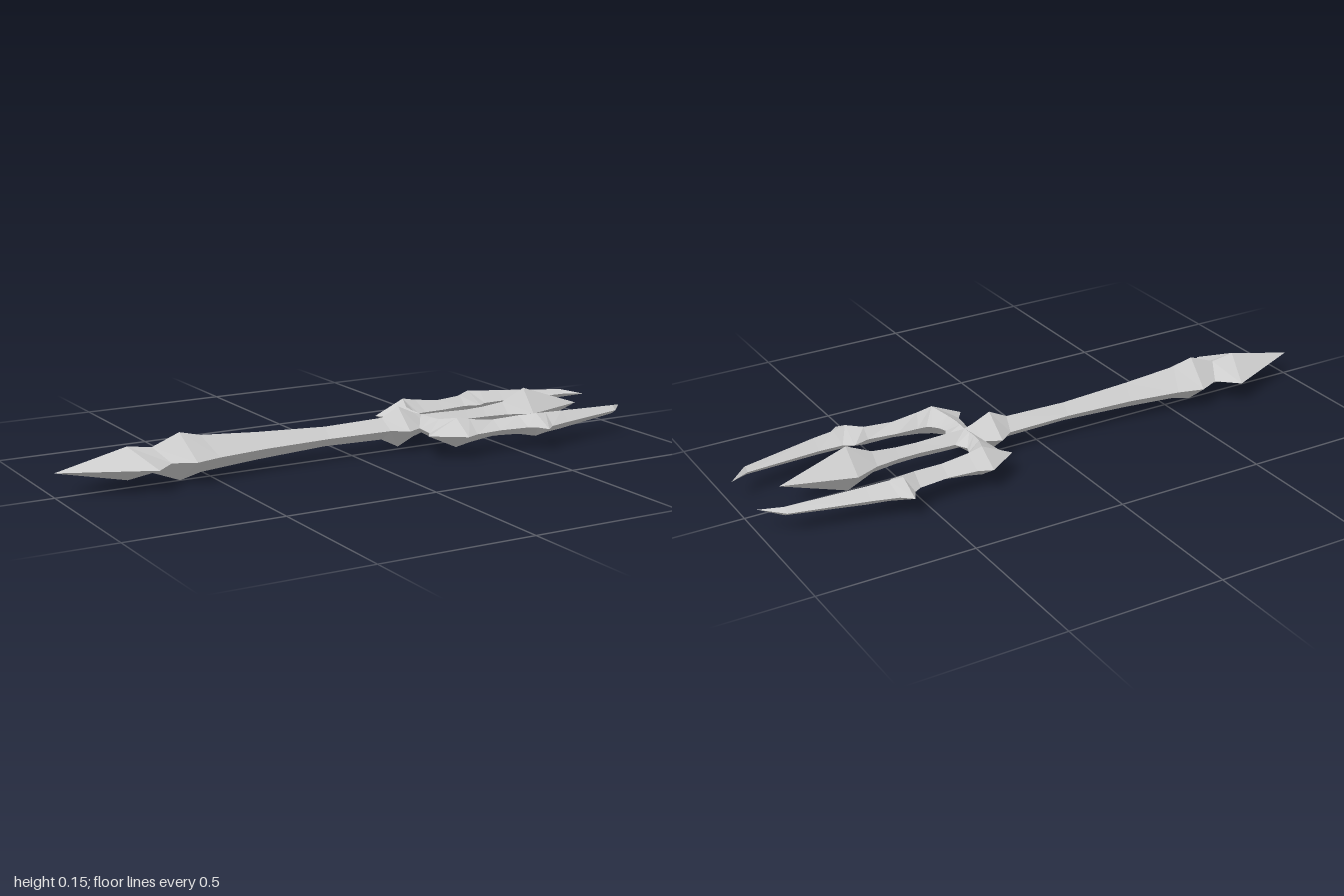
import * as THREE from 'three';

const MID = 0.075; // height of the weapon's centre line
const steel = new THREE.MeshStandardMaterial({ color: 0xcccccc, flatShading: true });
steel.name = 'steel';

// Skins a row of four-cornered rings (back, top, front, bottom) with flat faces
function loft(name, rings, flip = false) {
  const pos = [];
  const tri = (a, b, c) => {
    if (new THREE.Triangle(a, b, c).getArea() < 1e-8) return;
    for (const p of flip ? [a, c, b] : [a, b, c]) pos.push(p.x, p.y, p.z);
  };
  for (let s = 0; s < rings.length - 1; s++) {
    const a = rings[s], b = rings[s + 1];
    for (let i = 0; i < 4; i++) {
      const j = (i + 1) % 4;
      tri(a[i], a[j], b[j]);
      tri(a[i], b[j], b[i]);
    }
  }
  const geo = new THREE.BufferGeometry();
  geo.setAttribute('position', new THREE.Float32BufferAttribute(pos, 3));
  geo.computeVertexNormals();
  const mesh = new THREE.Mesh(geo, steel);
  mesh.name = name;
  return mesh;
}

const v = (x, y, z) => new THREE.Vector3(x, MID + y, z);

// Straight part: [x of ridges, half height, x of side edges, half width]
const straight = (name, rows) => loft(name, rows.map(([xr, h, xs, w]) =>
  [v(xs, 0, -w), v(xr, h, 0), v(xs, 0, w), v(xr, -h, 0)]));

// Curved side prong: [outer x, z, ridge x, z, ridge half height, inner x, z]
const PRONG = [
  [0.22, 0, 0.26, 0, 0.03, 0.31, 0],
  [0.22, 0.03, 0.26, 0.03, 0.032, 0.31, 0.035],
  [0.218, 0.065, 0.26, 0.06, 0.033, 0.29, 0.07],
  [0.21, 0.13, 0.265, 0.1, 0.034, 0.298, 0.095],
  [0.185, 0.165, 0.29, 0.163, 0.048, 0.315, 0.115],
  [0.29, 0.237, 0.29, 0.163, 0.048, 0.33, 0.125],
  [0.335, 0.218, 0.34, 0.165, 0.038, 0.36, 0.128],
  [0.43, 0.21, 0.43, 0.165, 0.027, 0.43, 0.13],
  [0.53, 0.222, 0.525, 0.172, 0.031, 0.525, 0.142],
  [0.555, 0.237, 0.575, 0.2, 0.038, 0.575, 0.127],
  [0.575, 0.275, 0.575, 0.2, 0.038, 0.578, 0.127],
  [0.61, 0.245, 0.62, 0.19, 0.034, 0.61, 0.145],
  [0.69, 0.222, 0.69, 0.183, 0.03, 0.69, 0.147],
  [0.93, 0.165, 0.93, 0.146, 0.014, 0.93, 0.131],
  [0.995, 0.098, 0.995, 0.098, 0, 0.995, 0.098],
];
const sideProng = (name, s) => loft(name, PRONG.map(([ox, oz, rx, rz, h, ix, iz]) =>
  [v(ox, 0, s * oz), v(rx, h, s * rz), v(ix, 0, s * iz), v(rx, -h, s * rz)]), s > 0);

export function createModel() {
  const group = new THREE.Group();
  group.name = 'trident';

  // Pointed butt of the handle
  group.add(straight('pommelSpike', [
    [-1, 0, -1, 0],
    [-0.77, 0.052, -0.72, 0.126],
    [-0.69, 0.04, -0.655, 0.066],
  ]));

  // Handle with a flared collar at each end
  group.add(straight('shaft', [
    [-0.69, 0.04, -0.655, 0.066],
    [-0.6, 0.075, -0.585, 0.098],
    [-0.53, 0.058, -0.5, 0.075],
    [-0.34, 0.044, -0.33, 0.05],
    [-0.1, 0.032, -0.1, 0.037],
    [0.11, 0.036, 0.12, 0.043],
    [0.172, 0.067, 0.17, 0.08],
    [0.23, 0.04, 0.225, 0.054],
    [0.265, 0.03, 0.265, 0.03],
  ]));

  // Straight middle prong with a spearhead
  group.add(straight('middleProng', [
    [0.265, 0.03, 0.265, 0.03],
    [0.33, 0.029, 0.33, 0.03],
    [0.43, 0.026, 0.43, 0.023],
    [0.5, 0.028, 0.5, 0.025],
    [0.58, 0.036, 0.58, 0.036],
    [0.665, 0.075, 0.66, 0.07],
    [0.885, 0, 0.885, 0],
  ]));

  // Hooked outer prongs, mirrored front to back
  group.add(sideProng('backProng', -1), sideProng('frontProng', 1));
  return group;
}
